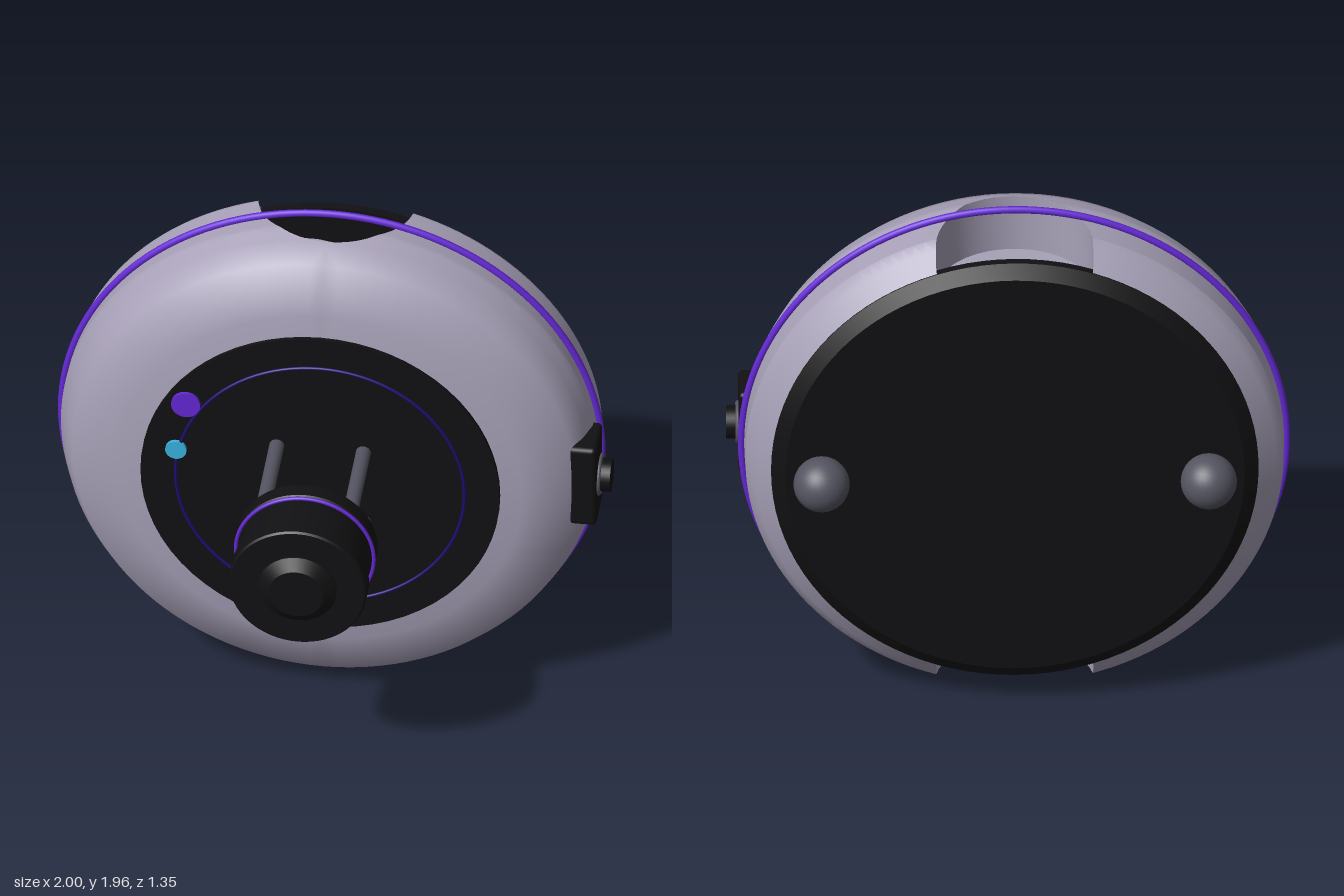
import * as THREE from 'three';
import { toCreasedNormals } from 'three/addons/utils/BufferGeometryUtils.js';
import { RoundedBoxGeometry } from 'three/addons/geometries/RoundedBoxGeometry.js';

const paint = (color, side = THREE.FrontSide) => new THREE.MeshStandardMaterial({ color, side });
const shell = paint(0xa8a1b8, THREE.DoubleSide);
const black = paint(0x111113);
const steel = paint(0x555562);
const purple = paint(0x6428d4);
const indigo = paint(0x1e0d70);
const cyan = paint(0x38b4e0);

// Body profile: [z, radius] from front to back
const profile = [[0, 0.3], [-0.006, 0.72], [-0.075, 0.9], [-0.14, 0.935], [-0.22, 0.96], [-0.4, 0.955], [-0.5, 0.843]];
const NOTCH_R = 0.28, NOTCH_Z = -0.44, FLOOR = 0.72, SWEEP = 1.78;

function radiusAt(z) {
  for (let i = 1; i < profile.length; i++) {
    const [z0, r0] = profile[i - 1], [z1, r1] = profile[i];
    if (z >= z1) return r0 + (r1 - r0) * (z0 - z) / (z0 - z1);
  }
  return profile[profile.length - 1][1];
}

// Appends a grid of quads; point(i, j) gives each corner
function addGrid(out, nu, nv, point, flip) {
  for (let i = 0; i < nu; i++) for (let j = 0; j < nv; j++) {
    const a = point(i, j), b = point(i + 1, j), c = point(i, j + 1), d = point(i + 1, j + 1);
    const corners = flip ? [a, c, b, b, c, d] : [a, b, c, b, d, c];
    corners.forEach((p) => out.push(...p));
  }
}

function gridGeometry(positions, crease) {
  const g = new THREE.BufferGeometry();
  g.setAttribute('position', new THREE.Float32BufferAttribute(positions, 3));
  return toCreasedNormals(g, crease);
}

// Two mirrored half shells whose edges follow the round notches at top and bottom
function bodyGeometry() {
  const rows = profile.map((p) => p[0]);
  for (let k = 0; k <= 14; k++) rows.push(NOTCH_Z + NOTCH_R * Math.cos(SWEEP * k / 14));
  rows.sort((a, b) => b - a);
  const out = [], n = 56;
  for (const s of [1, -1]) {
    addGrid(out, n, rows.length - 1, (i, j) => {
      const z = rows[j], r = radiusAt(z);
      const half = Math.sqrt(Math.max(0, NOTCH_R ** 2 - (z - NOTCH_Z) ** 2));
      const phi = z > NOTCH_Z + NOTCH_R ? 0 : Math.asin(half / r);
      const t = phi + (Math.PI - 2 * phi) * i / n;
      return [s * r * Math.sin(t), r * Math.cos(t), z];
    }, s < 0);
  }
  return gridGeometry(out, 0.82);
}

// Upright wall and flat floor of one notch
function notchGeometry(s) {
  const out = [], n = 32;
  const rim = (i, k) => {
    const a = SWEEP * (2 * i / n - 1);
    return [k * NOTCH_R * Math.sin(a), NOTCH_Z + k * NOTCH_R * Math.cos(a)];
  };
  addGrid(out, n, 1, (i, j) => {
    const [x, z] = rim(i, 1);
    return [x, s * (j ? FLOOR : Math.sqrt(radiusAt(z) ** 2 - x * x)), z];
  }, s > 0);
  addGrid(out, n, 1, (i, j) => {
    const [x, z] = rim(i, j ? 0.001 : 1);
    return [x, s * FLOOR, z];
  }, s > 0);
  return gridGeometry(out, 0.6);
}

// Turned solid about the z axis; points are [radius, z] from back to front
function turned(points, segments = 64) {
  const g = new THREE.LatheGeometry(points.map(([r, z]) => new THREE.Vector2(r, z)), segments);
  g.rotateX(Math.PI / 2);
  return toCreasedNormals(g, 0.5);
}

export function createModel() {
  const model = new THREE.Group();
  const device = new THREE.Group();
  device.name = 'device';
  device.position.set(-0.02, 0.985, 0);
  model.add(device);

  const add = (name, geometry, material, x = 0, y = 0, z = 0) => {
    const mesh = new THREE.Mesh(geometry, material);
    mesh.name = name;
    mesh.position.set(x, y, z);
    device.add(mesh);
    return mesh;
  };
  const disc = (r, depth) => new THREE.CylinderGeometry(r, r, depth, 64).rotateX(Math.PI / 2);

  // Round body with notches and trim ring
  add('body', bodyGeometry(), shell);
  add('topNotch', notchGeometry(1), shell);
  add('bottomNotch', notchGeometry(-1), shell);
  add('rimRing', new THREE.TorusGeometry(0.967, 0.013, 10, 128), purple, 0, 0, -0.29);

  // Back plate with two ball feet
  add('backPlate', turned([[0, -0.52], [0.815, -0.52], [0.865, -0.485], [0.865, -0.455], [0, -0.455]], 96), black);
  for (const s of [1, -1]) {
    add('ballFoot', new THREE.SphereGeometry(0.1, 32, 20), steel, s * 0.687, 0, -0.575);
  }

  // Front panel, inlaid ring and indicator lights
  add('frontPanel', disc(0.643, 0.015), black, 0, 0, 0.018);
  add('panelRing', new THREE.TorusGeometry(0.517, 0.006, 8, 96), indigo, 0, 0, 0.029);
  add('purpleLight', disc(0.052, 0.014), purple, -0.48, 0.31, 0.031);
  add('blueLight', disc(0.038, 0.014), cyan, -0.515, 0.105, 0.031);

  // Four rods carrying the front knob
  for (const sx of [1, -1]) for (const sy of [1, -1]) {
    add('rod', new THREE.CylinderGeometry(0.027, 0.027, 0.36, 16).rotateX(Math.PI / 2), steel, sx * 0.155, sy * 0.155, 0.195);
  }
  add('knob', turned([
    [0, 0.355], [0.245, 0.355], [0.251, 0.362], [0.251, 0.42], [0.245, 0.427], [0.238, 0.43],
    [0.238, 0.557], [0.242, 0.56], [0.247, 0.567], [0.247, 0.628], [0.241, 0.635], [0, 0.635],
  ]), black);
  add('knobCap', turned([[0.14, 0.63], [0.14, 0.642], [0.098, 0.673], [0, 0.673]], 32), black);
  add('knobRing', new THREE.TorusGeometry(0.247, 0.007, 8, 80), purple, 0, 0, 0.437);

  // Side control block with a button and collar
  add('sideBlock', new RoundedBoxGeometry(0.1, 0.34, 0.176, 3, 0.018), black, 0.926, 0, -0.157);
  add('sideButton', new THREE.CylinderGeometry(0.06, 0.06, 0.06, 32).rotateZ(Math.PI / 2), black, 0.99, 0, -0.157);
  add('buttonCollar', new THREE.TorusGeometry(0.068, 0.009, 10, 40).rotateY(Math.PI / 2), steel, 0.978, 0, -0.157);

  return model;
}
